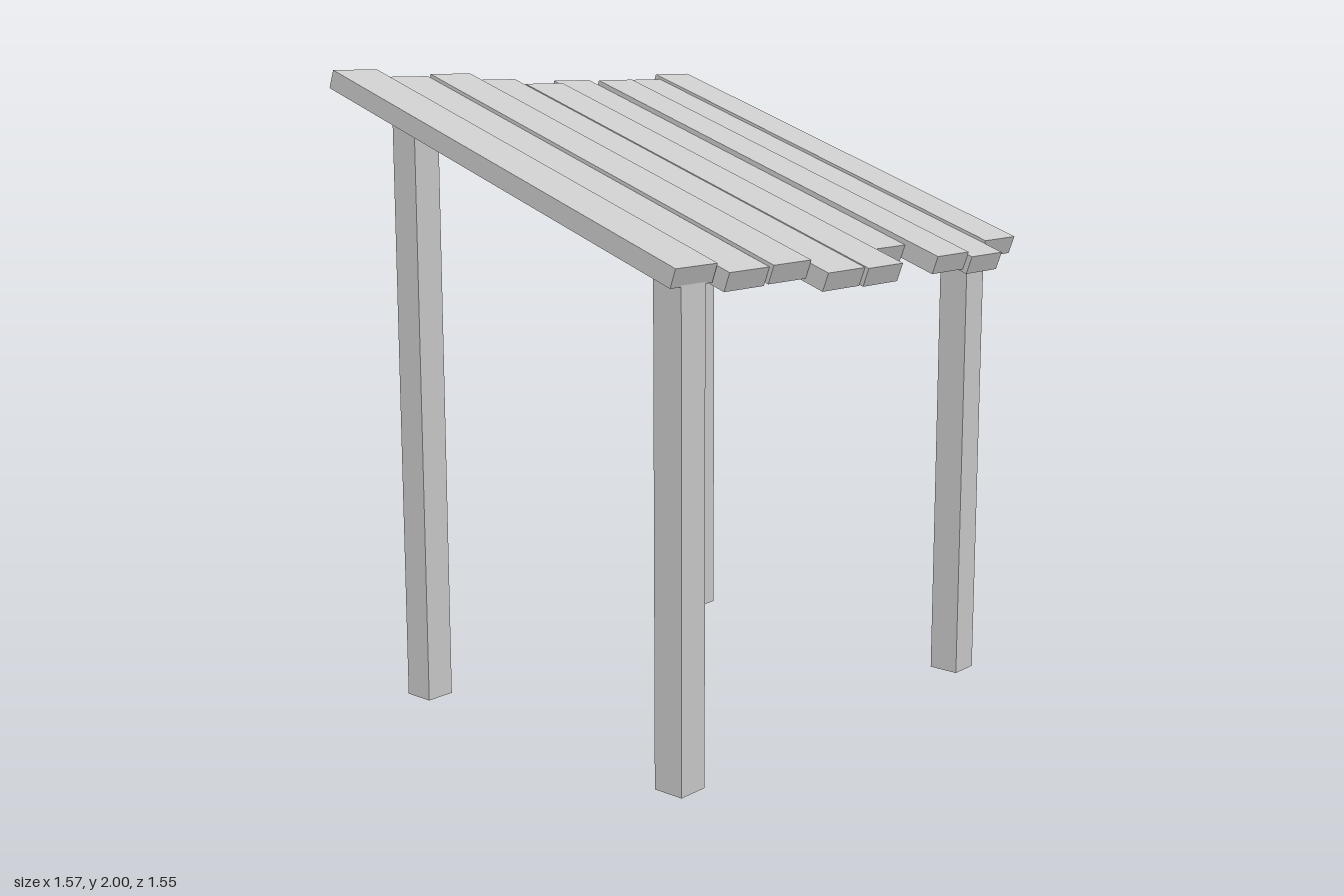
import * as THREE from 'three';

const SLOPE = 0.361;                 // roof fall per unit of z
const ANGLE = Math.atan(SLOPE);
const THICK = 0.058;
const roofY = (z) => 1.727 - SLOPE * z;   // top plane of the roof

const material = new THREE.MeshStandardMaterial({ color: 0xcccccc, flatShading: true });

// Sloping board: x range, z of the top edges, height offset from the roof plane
function plank(x0, x1, zBack, zFront, drop) {
  const length = (zFront - zBack) / Math.cos(ANGLE);
  const geo = new THREE.BoxGeometry(x1 - x0, THICK, length);
  geo.translate(0, -THICK / 2, 0);
  const mesh = new THREE.Mesh(geo, material);
  const z = (zBack + zFront) / 2;
  mesh.position.set((x0 + x1) / 2, roofY(z) + drop, z);
  mesh.rotation.x = ANGLE;
  return mesh;
}

// Square post with its top cut to the slope of the roof
function post(x0, x1, z0, z1, bottom, sink) {
  const geo = new THREE.BoxGeometry(x1 - x0, 1, z1 - z0);
  geo.translate((x0 + x1) / 2, 0, (z0 + z1) / 2);
  const p = geo.attributes.position;
  for (let i = 0; i < p.count; i++) {
    p.setY(i, p.getY(i) > 0 ? roofY(p.getZ(i)) - sink : bottom);
  }
  geo.computeVertexNormals();
  return new THREE.Mesh(geo, material);
}

export function createModel() {
  const model = new THREE.Group();
  model.name = 'leanToShelter';

  // Roof boards, uneven in length and height
  const roof = new THREE.Group();
  roof.name = 'roof';
  [
    [-0.785, -0.613, -0.755, 0.632, 0],
    [-0.605, -0.433, -0.723, 0.667, -0.011],
    [-0.430, -0.260, -0.713, 0.680, -0.001],
    [-0.257, -0.082, -0.690, 0.738, -0.013],
    [-0.081, 0.091, -0.640, 0.751, -0.010],
    [0.094, 0.263, -0.682, 0.640, -0.018],
    [0.264, 0.433, -0.636, 0.759, -0.002],
    [0.434, 0.606, -0.660, 0.771, -0.012],
    [0.609, 0.782, -0.682, 0.709, -0.003],
  ].forEach((args, i) => {
    const board = plank(...args);
    board.name = `roofPlank${i + 1}`;
    roof.add(board);
  });
  model.add(roof);

  // Four posts
  const posts = {
    frontRightPost: [-0.742, -0.643, 0.514, 0.614, 0.01, 0.035],
    frontLeftPost: [0.654, 0.752, 0.514, 0.614, 0.01, 0.035],
    backRightPost: [-0.656, -0.559, -0.637, -0.537, 0, 0.014],
    backLeftPost: [0.654, 0.752, -0.628, -0.527, 0.01, 0.035],
  };
  for (const [name, args] of Object.entries(posts)) {
    const mesh = post(...args);
    mesh.name = name;
    model.add(mesh);
  }
  return model;
}
